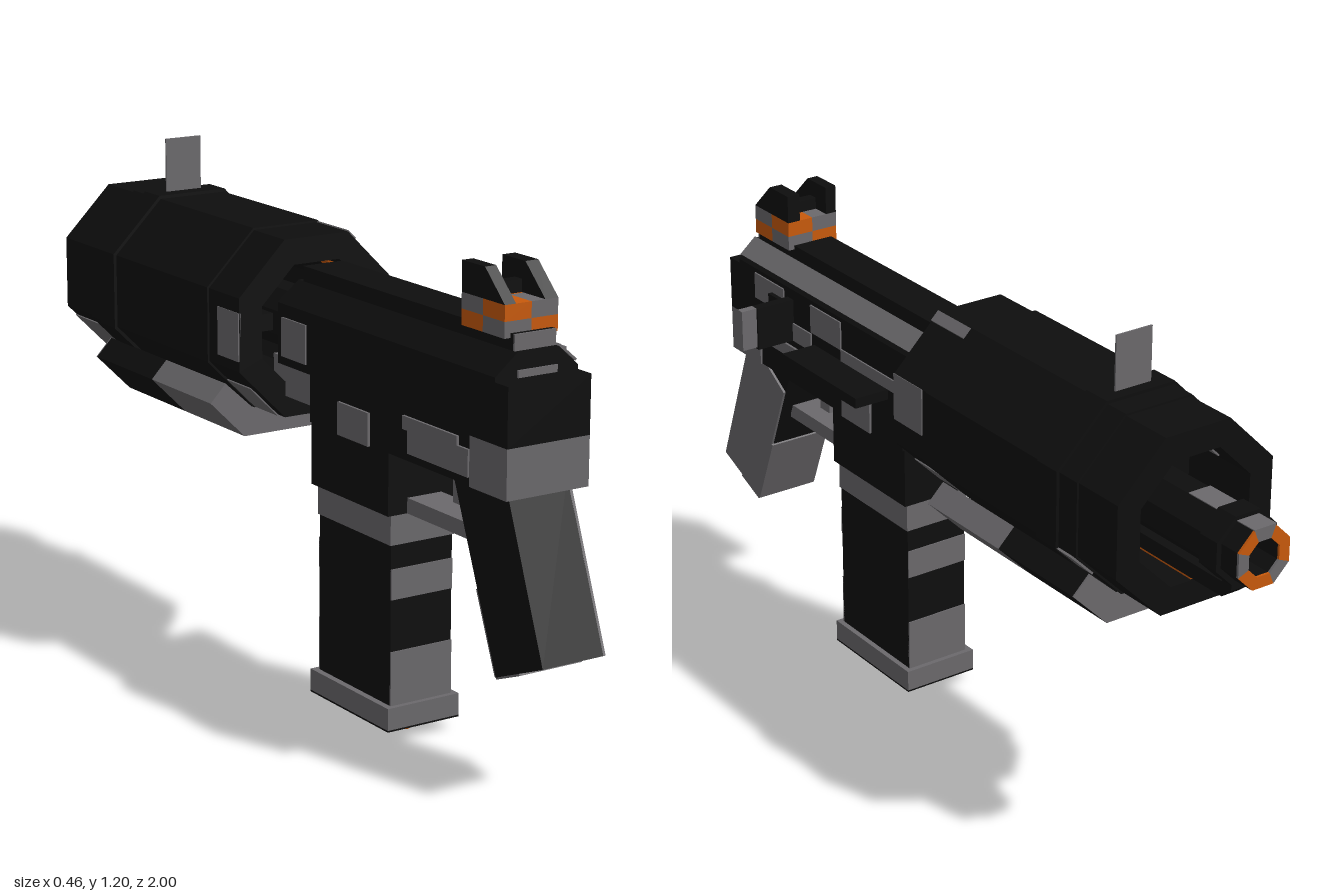
import * as THREE from 'three';

const CX = -0.0165, CY = 0.855; // axis of the barrel

export function createModel() {
  const root = new THREE.Group();
  const mat = (name, color) => {
    const m = new THREE.MeshStandardMaterial({ color });
    m.name = name;
    return m;
  };
  const black = mat('black', 0x0e0e0e);
  const grey = mat('grey', 0x6b696c);
  const orange = mat('orange', 0xc85a0c);

  const add = (name, geo, m) => {
    const mesh = new THREE.Mesh(geo, m);
    mesh.name = name;
    root.add(mesh);
    return mesh;
  };
  // box from its limits
  const box = (name, m, x0, x1, y0, y1, z0, z1) =>
    add(name, new THREE.BoxGeometry(x1 - x0, y1 - y0, z1 - z0), m)
      .position.set((x0 + x1) / 2, (y0 + y1) / 2, (z0 + z1) / 2);
  const shapeOf = (pts, hole) => {
    const s = new THREE.Shape(pts.map(p => new THREE.Vector2(...p)));
    if (hole) s.holes.push(new THREE.Path(hole.map(p => new THREE.Vector2(...p))));
    return s;
  };
  // (x, y) section extruded along z
  const alongZ = (name, m, pts, z0, z1, hole) => {
    const g = new THREE.ExtrudeGeometry(shapeOf(pts, hole), { depth: z1 - z0, bevelEnabled: false });
    add(name, g, m).position.z = z0;
  };
  // (z, y) profile extruded along x
  const alongX = (name, m, pts, x0, x1) => {
    const g = new THREE.ExtrudeGeometry(shapeOf(pts), { depth: x1 - x0, bevelEnabled: false });
    add(name, g.rotateY(-Math.PI / 2), m).position.x = x1;
  };
  // octagon given by the distance from its centre to a flat
  const oct = r => Array.from({ length: 8 }, (_, k) => {
    const a = Math.PI / 8 + k * Math.PI / 4, R = r / Math.cos(Math.PI / 8);
    return [CX + R * Math.cos(a), CY + R * Math.sin(a)];
  });
  // strip on side k of an octagonal tube, between radii r0 and r1
  const octPatch = (name, m, k, t0, t1, z0, z1, r0, r1) => {
    const pt = (r, t) => {
      const o = oct(r), a = o[k], b = o[(k + 1) % 8];
      return [a[0] + (b[0] - a[0]) * t, a[1] + (b[1] - a[1]) * t];
    };
    alongZ(name, m, [pt(r0, t0), pt(r1, t0), pt(r1, t1), pt(r0, t1)], z0, z1);
  };

  // receiver with chamfered top
  const upper = [[-0.12, 0.78], [0.09, 0.78], [0.09, 0.92], [0.04, 0.965], [-0.065, 0.965], [-0.12, 0.92]];
  alongZ('receiver', black, upper, 0.03, 0.855);
  box('receiverRear', black, -0.12, 0.09, 0.78, 0.91, 0.85, 0.9);
  box('lowerReceiver', black, -0.115, 0.085, 0.67, 0.79, 0.155, 0.78);
  box('lowerReceiverRear', grey, -0.12, 0.09, 0.67, 0.78, 0.77, 0.9);
  box('lowerReceiverFront', grey, -0.1, 0.07, 0.7, 0.79, -0.02, 0.155);
  alongZ('chamferStrip', grey, [[0.083, 0.929], [0.087, 0.932], [0.044, 0.969], [0.04, 0.965]], 0.03, 0.855);
  box('topRail', black, -0.065, 0.04, 0.96, 1.0, 0.05, 0.84);
  box('railEnd', grey, -0.065, 0.04, 0.965, 1.0, 0.84, 0.845);
  box('rearSlot', grey, -0.065, 0.035, 0.912, 0.928, 0.855, 0.859);

  // painted patches on the receiver: z0, z1, y0, y1
  const both = [[0.53, 0.73, 0.74, 0.77], [0.28, 0.4, 0.67, 0.745]];
  const rightOnly = [[0.65, 0.78, 0.845, 0.91], [0.53, 0.64, 0.79, 0.835],
    [0.4, 0.53, 0.84, 0.91], [0.15, 0.4, 0.812, 0.842]];
  const leftOnly = [[0.55, 0.77, 0.69, 0.75], [0.05, 0.15, 0.8, 0.89]];
  const patch = ([z0, z1, y0, y1], right) => {
    const x = right ? 0.088 : -0.124;
    box('paintPatch', grey, x, x + 0.006, y0, y1, z0, z1);
  };
  for (const p of both) { patch(p, true); patch(p, false); }
  rightOnly.forEach(p => patch(p, true));
  leftOnly.forEach(p => patch(p, false));
  box('selector', black, 0.09, 0.105, 0.86, 0.885, 0.62, 0.7);

  // ejection cover and charging handle
  box('ejectionCover', black, 0.085, 0.18, 0.785, 0.81, 0.205, 0.52);
  box('handleRod', black, 0.085, 0.19, 0.79, 0.895, 0.61, 0.635);
  box('handleTip', grey, 0.185, 0.23, 0.795, 0.895, 0.615, 0.635);

  // magazine well and banded magazine
  box('magazineWell', black, -0.11, 0.08, 0.525, 0.675, 0.155, 0.46);
  box('magazine', black, -0.095, 0.067, 0.08, 0.53, 0.165, 0.45);
  box('magazineBand', grey, -0.098, 0.07, 0.455, 0.525, 0.162, 0.453);
  for (const [y0, y1] of [[0.085, 0.21], [0.33, 0.4]]) {
    box('magazineStripe', grey, -0.095, 0.067, y0, y1, 0.449, 0.453);
    box('magazineStripe', grey, -0.095, 0.067, y0, y1, 0.162, 0.166);
  }
  box('basePlate', grey, -0.11, 0.08, 0.034, 0.085, 0.15, 0.465);
  box('basePlateUnderside', black, -0.11, 0.08, 0.03, 0.034, 0.15, 0.465);
  for (const z of [0.375, 0.238]) {
    add('boltWasher', new THREE.CylinderGeometry(0.048, 0.048, 0.015, 8), black).position.set(-0.015, 0.0235, z);
    add('bolt', new THREE.CylinderGeometry(0.029, 0.029, 0.018, 8), orange).position.set(-0.015, 0.009, z);
  }

  // raked grip: grey right half skin, black body, grey foot on the forward face
  const grip = [[0.865, 0.69], [1.0, 0.335], [0.84, 0.27], [0.68, 0.67]];
  alongX('grip', black, grip, -0.095, 0.061);
  alongX('gripRightFace', grey, [grip[0], grip[1], grip[2], [0.705, 0.61], [0.8, 0.67]], 0.06, 0.067);
  alongX('gripFoot', grey, [[0.84, 0.27], [0.836, 0.27], [0.766, 0.443], [0.771, 0.446]], -0.095, 0.067);
  alongX('gripHeel', grey, [[0.84, 0.27], [0.842, 0.266], [0.922, 0.298], [0.92, 0.303]], -0.095, 0.067);

  // trigger and guard
  box('triggerGuard', grey, -0.06, 0.03, 0.525, 0.56, 0.45, 0.735);
  box('trigger', grey, -0.035, 0.005, 0.58, 0.66, 0.595, 0.635);
  box('triggerArm', grey, -0.035, 0.005, 0.602, 0.625, 0.63, 0.72);

  // octagonal handguard, open at both ends
  alongZ('handguard', black, oct(0.205), -0.78, 0.03, oct(0.145));
  alongZ('handguardSleeve', black, oct(0.21), -0.65, -0.1, oct(0.2));
  alongZ('handguardRing', black, oct(0.2175), -0.59, -0.52, oct(0.2));
  const skin = (k, t0, t1, z0, z1) => octPatch('handguardPatch', grey, k, t0, t1, z0, z1, 0.2, 0.208);
  skin(0, 0.84, 1, -0.23, 0.03);
  skin(7, 0.35, 1, -0.08, 0.03);
  skin(6, 0, 0.55, -0.08, 0.03);
  skin(3, 0.2, 0.85, -0.06, 0.03);
  skin(4, 0.4, 1, -0.1, 0.0);
  skin(4, 0.2, 1, -0.78, -0.66);
  octPatch('handguardPatch', grey, 6, 0.55, 1, -0.64, -0.585, 0.205, 0.215);
  // painted inner faces and spacers
  for (const [k, m, z0, z1] of [[0, orange, -0.08, 0.03], [2, grey, -0.7, -0.45], [4, orange, -0.7, -0.5],
    [7, orange, -0.72, -0.6], [3, grey, -0.3, 0.0], [5, orange, -0.6, -0.35]])
    octPatch('innerPatch', m, k, 0.2, 0.8, z0, z1, 0.141, 0.147);
  for (const z of [-0.08, -0.55])
    for (const s of [-1, 1]) {
      const a = CX + s * 0.06, b = CX + s * 0.15;
      box('barrelSpacer', black, Math.min(a, b), Math.max(a, b), 0.835, 0.875, z - 0.03, z + 0.03);
    }

  // tray hugging the underside of the handguard
  const tray = [[-0.22, 0.67], [-0.13, 0.58], [0.1, 0.58], [0.19, 0.67], [0.148, 0.712],
    [0.074, 0.645], [-0.107, 0.645], [-0.18, 0.712]];
  alongZ('trayRear', grey, tray, -0.37, -0.1);
  alongZ('trayFront', black, tray, -0.636, -0.37);
  alongZ('trayEnd', grey, tray, -0.64, -0.636);

  // barrel, collar and painted muzzle
  alongZ('barrel', black, oct(0.067), -0.994, 0.04, oct(0.04));
  alongZ('muzzleCollar', black, oct(0.079), -0.945, -0.89, oct(0.06));
  for (let k = 0; k < 8; k++)
    octPatch('muzzleFace', k % 3 === 1 ? grey : orange, k, 0, 1, -1.0, -0.994, 0.04, 0.067);
  octPatch('muzzleTopStrip', grey, 1, 0, 1, -1.0, -0.945, 0.066, 0.07);
  octPatch('barrelTopStrip', grey, 1, 0, 1, -0.89, -0.79, 0.066, 0.07);

  // rod under the barrel, hooked up into the collar
  alongX('underRod', black, [[-0.4, 0.73], [-0.9, 0.73], [-0.93, 0.755], [-0.93, 0.8],
    [-0.9, 0.8], [-0.9, 0.765], [-0.4, 0.765]], -0.04, 0.007);
  box('underRodPaint', orange, -0.04, 0.007, 0.726, 0.73, -0.8, -0.6);

  // rear sight: chequered block with two sloped ears
  const xs = [-0.08, -0.0125, 0.055], ys = [0.99, 1.025, 1.06], zs = [0.68, 0.755, 0.83];
  for (let i = 0; i < 2; i++)
    for (let j = 0; j < 2; j++)
      for (let k = 0; k < 2; k++)
        box('rearSightBlock', (i + j + k) % 2 ? grey : orange,
          xs[i], xs[i + 1], ys[j], ys[j + 1], zs[k], zs[k + 1]);
  const ear = [[0.83, 1.06], [0.76, 1.127], [0.68, 1.127], [0.68, 1.06]];
  alongX('rearSightEar', black, ear, -0.08, -0.052);
  alongX('rearSightEar', black, ear, 0.022, 0.055);
  box('rearSightBridge', black, -0.08, 0.055, 1.06, 1.088, 0.725, 0.75);

  // front sight blade
  box('frontSight', grey, -0.065, 0.03, 1.06, 1.2, -0.562, -0.558);

  return root;
}
